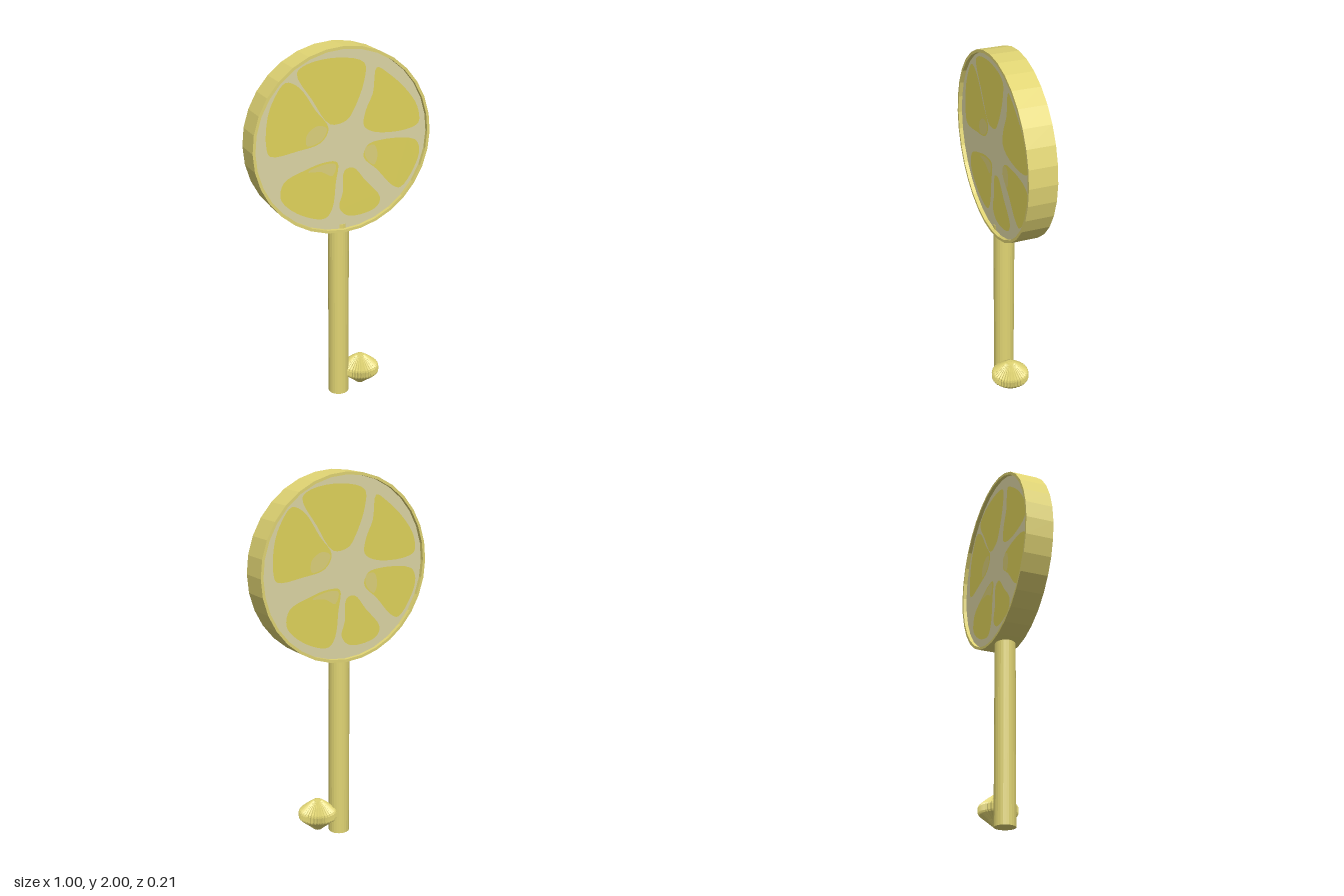
import * as THREE from 'three';

const flat = (g) => {
  const f = g.index ? g.toNonIndexed() : g;
  f.computeVertexNormals();
  return f;
};

// Pulp wedges, as outline points around the disc centre
const WEDGES = [
  [[-.25, .38], [-.2, .42], [-.02, .44], [.12, .4], [.12, .31], [.06, .16], [.02, .11], [-.07, .1], [-.17, .24]],
  [[.19, .37], [.26, .33], [.36, .24], [.43, .14], [.44, .05], [.36, .02], [.18, .03], [.12, .07], [.13, .15], [.17, .24]],
  [[.14, -.04], [.2, -.02], [.42, -.04], [.45, -.1], [.42, -.2], [.34, -.3], [.29, -.28], [.2, -.18], [.12, -.1]],
  [[.01, -.16], [.06, -.15], [.13, -.23], [.22, -.34], [.2, -.39], [.1, -.42], [.02, -.41], [-.02, -.36], [0, -.28]],
  [[-.35, -.26], [-.33, -.18], [-.22, -.13], [-.1, -.1], [-.03, -.11], [-.04, -.22], [-.06, -.36], [-.1, -.41], [-.2, -.39], [-.31, -.32]],
  [[-.31, .34], [-.37, .27], [-.41, .17], [-.42, .02], [-.4, -.03], [-.25, -.02], [-.12, .01], [-.08, .08], [-.15, .18], [-.24, .31]],
];

// Paler patches near the inner tips of some wedges
const PATCHES = [
  [[.13, -.05], [.18, -.04], [.2, -.1], [.18, -.15], [.13, -.1]],
  [[-.2, .0], [-.12, .02], [-.09, .08], [-.14, .1], [-.2, .06]],
  [[-.2, -.14], [-.1, -.11], [-.04, -.12], [-.06, -.18], [-.12, -.15]],
];

function blob(points) {
  const curve = new THREE.CatmullRomCurve3(
    points.map(([x, y]) => new THREE.Vector3(x, y, 0)), true, 'centripetal');
  const outline = curve.getPoints(points.length * 4).slice(0, -1);
  return new THREE.ShapeGeometry(new THREE.Shape(outline.map((p) => new THREE.Vector2(p.x, p.y))));
}

export function createModel() {
  const mat = (name, color) => {
    const m = new THREE.MeshStandardMaterial({ color });
    m.name = name;
    return m;
  };
  const rindMat = mat('rind yellow', 0xe0d473);
  const pulpMat = mat('pulp yellow', 0xdfd25a);
  const paleMat = mat('pale pulp', 0xdcd07a);
  const pithMat = mat('pith cream', 0xdcd5a4);

  const model = new THREE.Group();
  const add = (parent, name, geo, material) => {
    const mesh = new THREE.Mesh(geo, material);
    mesh.name = name;
    parent.add(mesh);
    return mesh;
  };

  // Round slice with a raised rim on both sides
  const slice = new THREE.Group();
  slice.name = 'slice';
  slice.position.set(0, 1.5, -0.015);
  model.add(slice);
  const rimProfile = [[.485, -.056], [.485, -.076], [.5, -.076], [.5, .076], [.485, .076], [.485, .056]]
    .map(([r, h]) => new THREE.Vector2(r, h));
  add(slice, 'rind', flat(new THREE.LatheGeometry(rimProfile, 32)).rotateX(Math.PI / 2), rindMat);

  // The same face on front and back
  const wedgeGeos = WEDGES.map(blob);
  const patchGeos = PATCHES.map(blob);
  const pithGeo = new THREE.CircleGeometry(0.487, 32);
  for (const side of ['front', 'back']) {
    const face = new THREE.Group();
    face.name = side + 'Face';
    if (side === 'back') face.rotation.y = Math.PI;
    slice.add(face);
    add(face, 'pith', pithGeo, pithMat).position.z = 0.056;
    wedgeGeos.forEach((g) => { add(face, 'pulpWedge', g, pulpMat).position.z = 0.058; });
    patchGeos.forEach((g) => { add(face, 'palePatch', g, paleMat).position.z = 0.06; });
  }

  // Handle
  const stick = add(model, 'stick', flat(new THREE.CylinderGeometry(.057, .057, 1.04, 24)), rindMat);
  stick.position.set(0, 0.52, -0.013);

  // Fluted knob: a lathe whose every second column is pulled in
  const ribs = 36;
  const knobProfile = [[0, .03], [.022, .032], [.06, .064], [.1, .096], [.105, .105],
    [.105, .135], [.1, .145], [.06, .178], [.025, .203], [0, .205]]
    .map(([r, h]) => new THREE.Vector2(r, h));
  const knobGeo = new THREE.LatheGeometry(knobProfile, ribs * 2);
  const pos = knobGeo.attributes.position;
  for (let i = 0; i < pos.count; i++) {
    const column = Math.floor(i / knobProfile.length);
    if (column % 2) {
      pos.setX(i, pos.getX(i) * 0.9);
      pos.setZ(i, pos.getZ(i) * 0.9);
    }
  }
  add(model, 'knob', flat(knobGeo), rindMat).position.set(0.13, 0, 0);

  return model;
}
